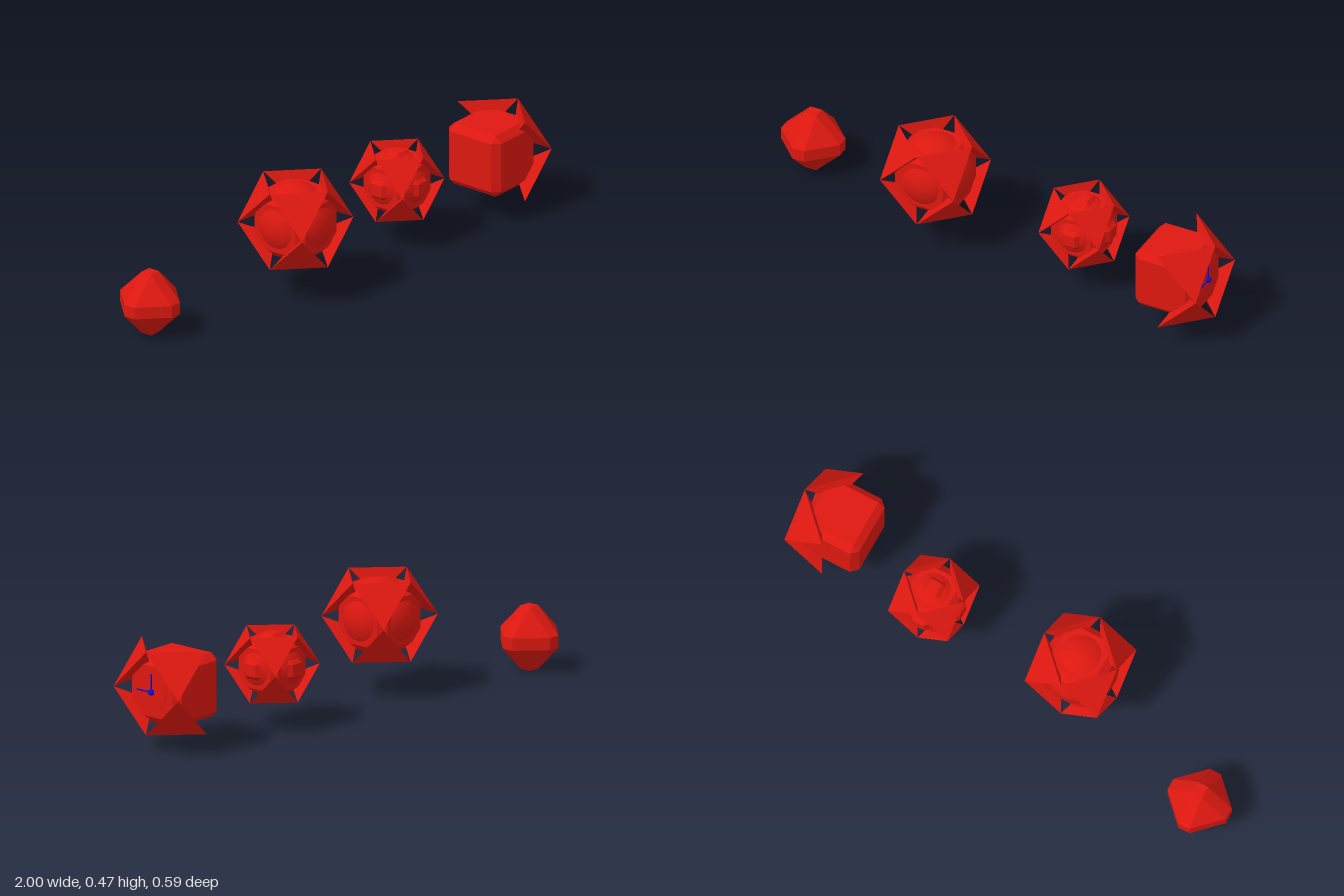
import * as THREE from 'three';
import { ConvexGeometry } from 'three/addons/geometries/ConvexGeometry.js';

const red = new THREE.MeshStandardMaterial({ color: 0xdd1810, flatShading: true });
const redSmooth = new THREE.MeshStandardMaterial({ color: 0xdd1810 });
const blue = new THREE.MeshStandardMaterial({ color: 0x1010cc });
const signs = [-1, 1];

function add(parent, name, geometry, material, x = 0, y = 0, z = 0) {
  const mesh = new THREE.Mesh(geometry, material);
  mesh.name = name;
  mesh.position.set(x, y, z);
  parent.add(mesh);
  return mesh;
}

// Six square faces of half width `face` at distance `reach`, joined by bevels:
// a small face gives a bevelled octahedron, a large one a bevelled cube.
function bevelledSolid(reach, face) {
  const points = [];
  for (const a of signs) for (const b of signs) for (const c of signs) {
    points.push(
      new THREE.Vector3(a * reach, b * face, c * face),
      new THREE.Vector3(a * face, b * reach, c * face),
      new THREE.Vector3(a * face, b * face, c * reach));
  }
  return new ConvexGeometry(points);
}

// Shell of triangular wedges, one per octant, meeting at their tips
function addShell(parent, h, xSides = signs) {
  const shell = new THREE.Group();
  shell.name = 'wedgeShell';
  const s = 0.35 * h;
  for (const a of xSides) for (const b of signs) for (const c of signs) {
    add(shell, 'wedge', new ConvexGeometry([
      new THREE.Vector3(a * h, b * h, 0),
      new THREE.Vector3(a * h, 0, c * h),
      new THREE.Vector3(0, b * h, c * h),
      new THREE.Vector3(a * s, b * s, c * s)]), red);
  }
  parent.add(shell);
}

function unit(parent, name, x, y, z) {
  const group = new THREE.Group();
  group.name = name;
  group.position.set(x, y, z);
  parent.add(group);
  return group;
}

export function createModel() {
  const model = new THREE.Group();
  model.name = 'nestedSolids';

  // Bare core
  const core = unit(model, 'bareCore', -0.874, 0.128, -0.168);
  add(core, 'bevelledOctahedron', bevelledSolid(0.126, 0.024), red);

  // Large closed unit: cube with a ball bulging through its faces
  const large = unit(model, 'largeUnit', -0.245, 0.311, 0.039);
  addShell(large, 0.157);
  add(large, 'cube', bevelledSolid(0.124, 0.095), red);
  add(large, 'ball', new THREE.SphereGeometry(0.147, 32, 24), redSmooth);

  // Small closed unit: octahedron tips pierce the ball
  const small = unit(model, 'smallUnit', 0.386, 0.253, 0.03);
  addShell(small, 0.129);
  add(small, 'cube', bevelledSolid(0.1, 0.079), red);
  add(small, 'ball', new THREE.SphereGeometry(0.119, 32, 24), redSmooth);
  add(small, 'octahedron', bevelledSolid(0.126, 0.024), red);

  // Open unit: half a shell around a cube with a dial
  const open = unit(model, 'openUnit', 0.836, 0.246, 0.131);
  addShell(open, 0.164, [1]);
  add(open, 'cube', bevelledSolid(0.127, 0.1), red);
  const dial = add(open, 'dial', new THREE.CylinderGeometry(0.073, 0.073, 0.006, 12), red, 0.127);
  dial.rotation.z = Math.PI / 2;

  // Pointers and pivot
  add(open, 'pivot', new THREE.SphereGeometry(0.013, 16, 12), blue, 0.134);
  const pointer = new THREE.CylinderGeometry(0.003, 0.003, 0.072, 10);
  add(open, 'uprightPointer', pointer, blue, 0.134, 0.036, 0);
  add(open, 'levelPointer', pointer, blue, 0.134, 0, 0.036).rotation.x = Math.PI / 2;

  return model;
}
